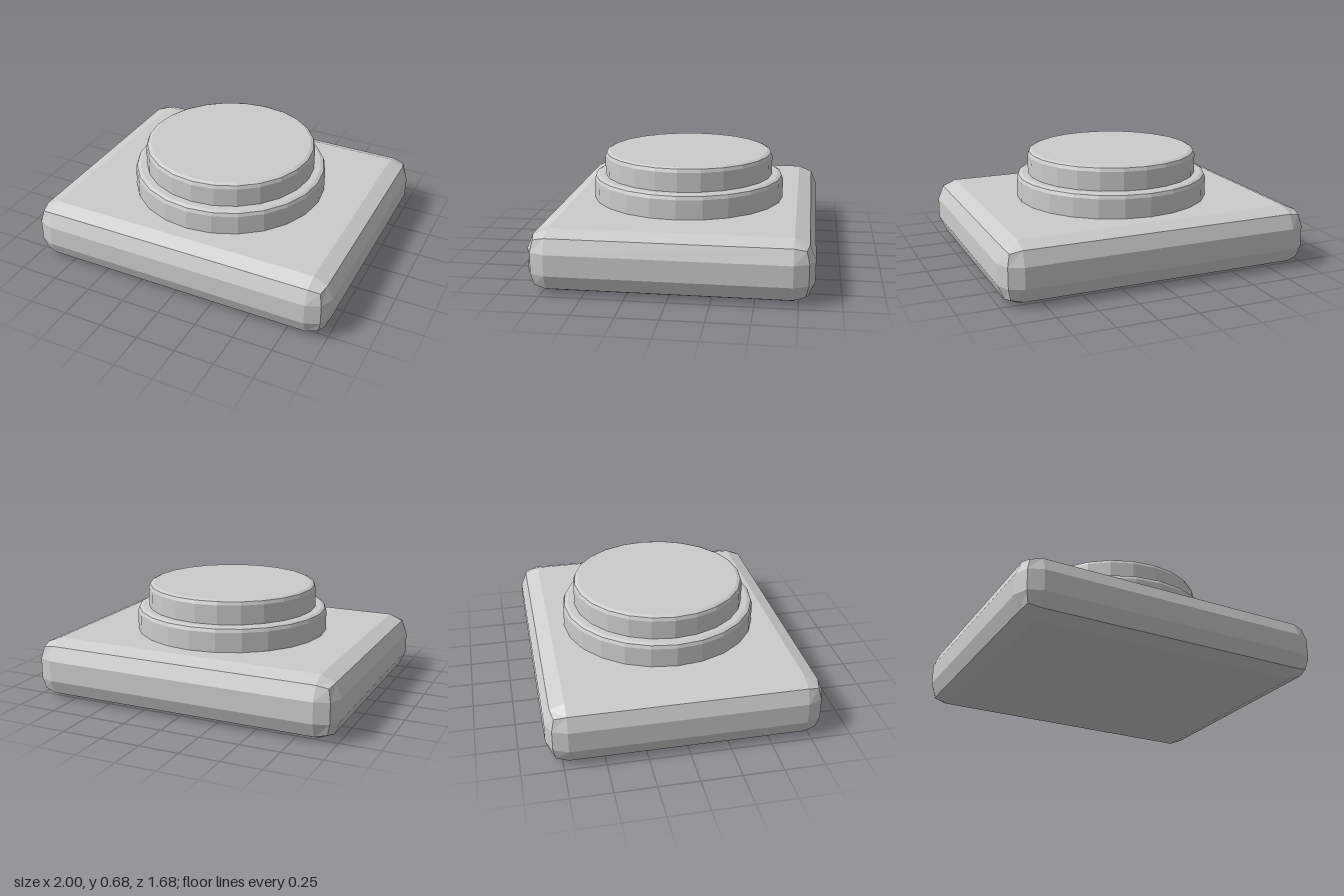
import * as THREE from 'three';
import { RoundedBoxGeometry } from 'three/addons/geometries/RoundedBoxGeometry.js';

const grey = new THREE.MeshStandardMaterial({ color: 0xcccccc });
grey.name = 'light grey';

// Give every face its own flat normal
function faceted(geometry) {
  const flat = geometry.index ? geometry.toNonIndexed() : geometry;
  flat.computeVertexNormals();
  return flat;
}

function part(name, geometry) {
  const mesh = new THREE.Mesh(faceted(geometry), grey);
  mesh.name = name;
  return mesh;
}

// 24-sided disc with a two-step bevel around its top rim
function disc(name, radius, bottom, top, bevel) {
  const points = [new THREE.Vector2(0, bottom), new THREE.Vector2(radius, bottom)];
  for (let i = 0; i <= 2; i++) {
    const a = (i * Math.PI) / 4;
    points.push(new THREE.Vector2(
      radius - bevel * (1 - Math.cos(a)),
      top - bevel * (1 - Math.sin(a))
    ));
  }
  points.push(new THREE.Vector2(0, top));
  return part(name, new THREE.LatheGeometry(points, 24));
}

export function createModel() {
  const model = new THREE.Group();
  model.name = 'pushButton';

  // Chamfered base block
  const base = part('base', new RoundedBoxGeometry(2, 0.38, 1.685, 1, 0.125));
  base.position.y = 0.19;
  model.add(base);

  // Collar and raised cap, each sunk slightly into the part below
  model.add(disc('collar', 0.62, 0.34, 0.533, 0.03));
  model.add(disc('cap', 0.547, 0.5, 0.683, 0.03));

  return model;
}
